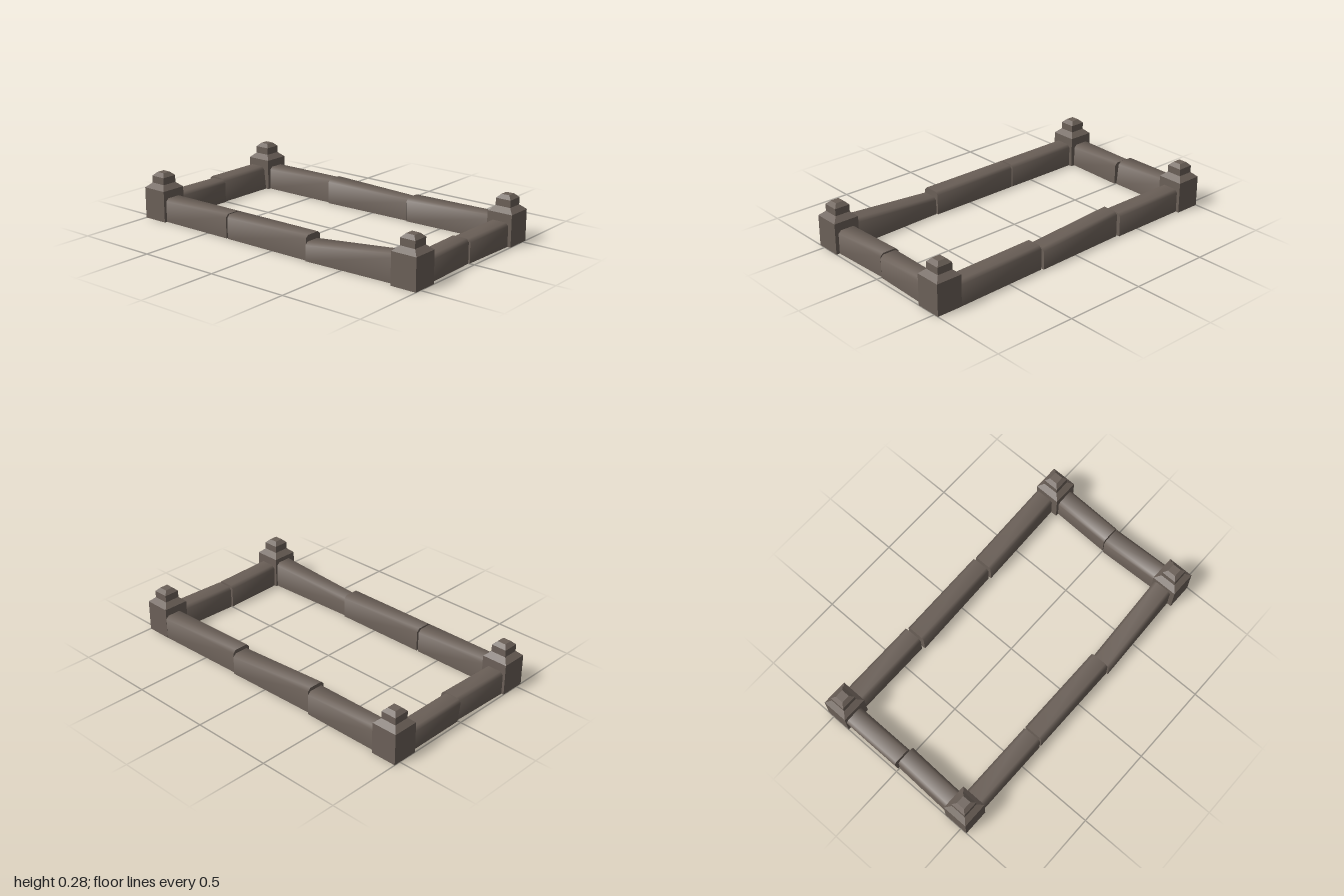
import * as THREE from 'three';
import { toCreasedNormals } from 'three/addons/utils/BufferGeometryUtils.js';

// Skin a list of equal-length cross-sections; the ring may stay open along its last edge.
function loft(rings, { closed, capStart, capEnd, crease }) {
  const pos = [];
  const tri = (a, b, c) => pos.push(...a, ...b, ...c);
  const n = rings[0].length;
  for (let r = 0; r < rings.length - 1; r++) {
    for (let i = 0; i < (closed ? n : n - 1); i++) {
      const j = (i + 1) % n;
      const [a, b, c, d] = [rings[r][i], rings[r][j], rings[r + 1][j], rings[r + 1][i]];
      tri(a, b, d);
      tri(b, c, d);
    }
  }
  const first = rings[0], last = rings[rings.length - 1];
  for (let i = 1; i < n - 1; i++) {
    if (capStart) tri(first[0], first[i + 1], first[i]);
    if (capEnd) tri(last[0], last[i], last[i + 1]);
  }
  const geo = new THREE.BufferGeometry();
  geo.setAttribute('position', new THREE.Float32BufferAttribute(pos, 3));
  return toCreasedNormals(geo, crease);
}

// Corner post: square block, chamfered shoulder, small chamfered cap; open underneath.
function postGeometry() {
  const profile = [[0.08, 0], [0.08, 0.19], [0.048, 0.219], [0.048, 0.262], [0.026, 0.284]];
  const rings = profile.map(([s, y]) => [[s, y, s], [s, y, -s], [-s, y, -s], [-s, y, s]]);
  return loft(rings, { closed: true, capEnd: true, crease: 0.2 });
}

// Kerb stone with chamfered top edges; each end is [along, across, height].
function kerbGeometry(axis, start, end, lean = 0) {
  const w = 0.06, c = 0.018;
  const ring = ([along, across, h]) =>
    [[w, 0], [w, h - c], [w - c, h], [c - w, h], [-w, h - c], [-w, 0]].map(([s, y]) => {
      const shift = across + lean * (y / h - 0.5);
      return axis === 'z' ? [shift + s, y, along] : [along, y, shift - s];
    });
  return loft([ring(start), ring(end)], { closed: false, capStart: true, capEnd: true, crease: 0.9 });
}

export function createModel() {
  const group = new THREE.Group();
  const stone = new THREE.MeshStandardMaterial({ color: 0x6b6058, side: THREE.DoubleSide });
  stone.name = 'weathered stone';
  const add = (name, geo) => {
    const mesh = new THREE.Mesh(geo, stone);
    mesh.name = name;
    group.add(mesh);
    return mesh;
  };

  // Corner posts
  const post = postGeometry();
  for (const [name, x, z] of [
    ['frontRightPost', -0.462, 0.92], ['frontLeftPost', 0.45, 0.92],
    ['backRightPost', -0.462, -0.92], ['backLeftPost', 0.46, -0.92],
  ]) add(name, post).position.set(x, 0, z);

  // Kerb stones, slightly settled out of line
  const kerbs = [
    ['rightKerbBack', 'z', [-0.86, -0.464, 0.143], [-0.348, -0.464, 0.143]],
    ['rightKerbMiddle', 'z', [-0.337, -0.464, 0.143], [0.252, -0.464, 0.143]],
    ['rightKerbFront', 'z', [0.256, -0.474, 0.108], [0.86, -0.453, 0.165]],
    ['leftKerbBack', 'z', [-0.86, 0.46, 0.143], [-0.35, 0.46, 0.143]],
    ['leftKerbMiddle', 'z', [-0.338, 0.447, 0.154], [0.25, 0.463, 0.129]],
    ['leftKerbFront', 'z', [0.26, 0.453, 0.145], [0.845, 0.469, 0.146]],
    ['backKerbRight', 'x', [-0.4, -0.925, 0.14], [-0.005, -0.913, 0.14]],
    ['backKerbLeft', 'x', [0.004, -0.929, 0.145], [0.4, -0.929, 0.145], -0.016],
    ['frontKerbRight', 'x', [-0.4, 0.918, 0.141], [-0.006, 0.904, 0.141]],
    ['frontKerbLeft', 'x', [0.002, 0.909, 0.136], [0.4, 0.92, 0.141]],
  ];
  for (const [name, ...args] of kerbs) add(name, kerbGeometry(...args));

  return group;
}
